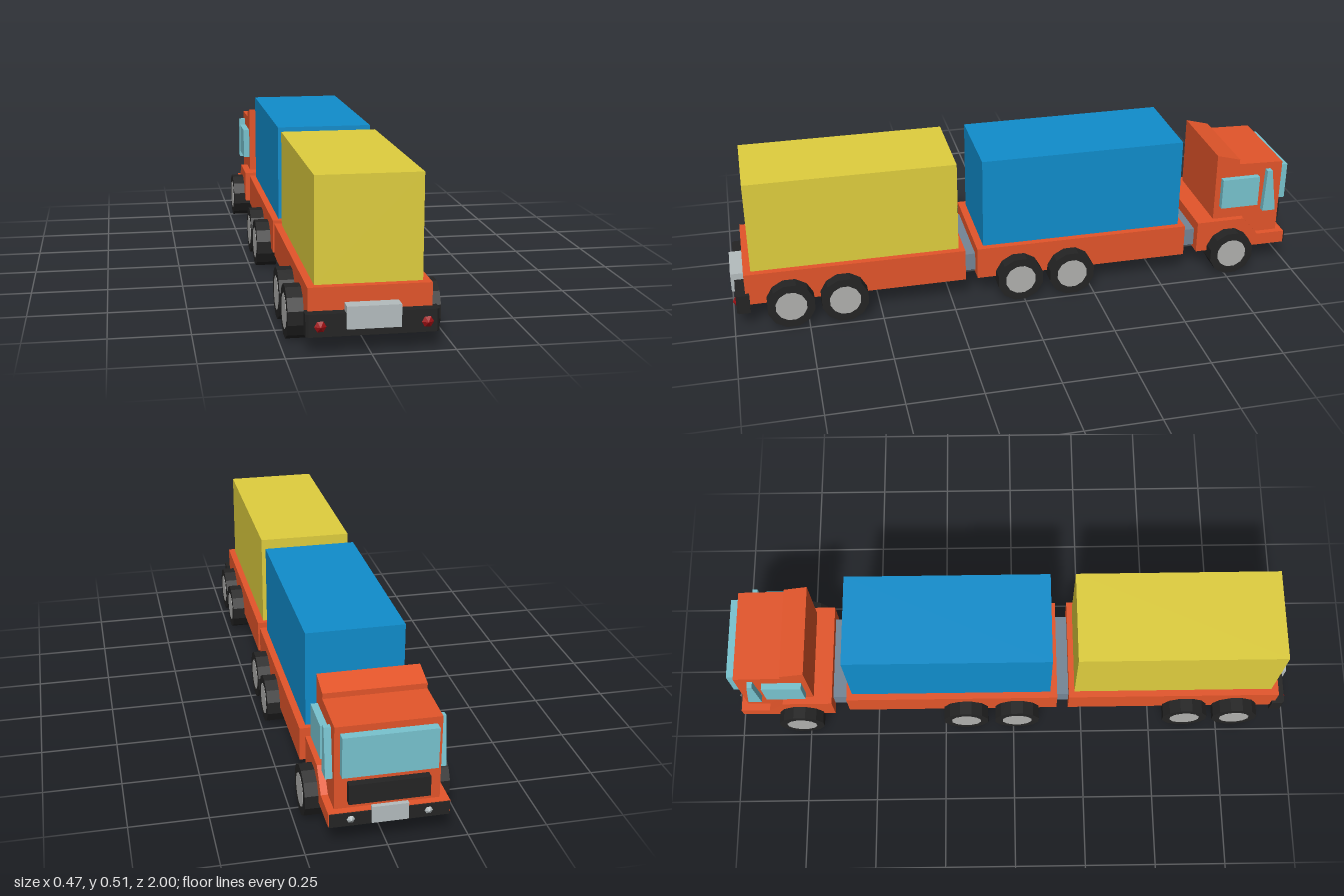
import * as THREE from 'three';

const material = (color) => new THREE.MeshStandardMaterial({ color, flatShading: true });

export function createModel() {
  const truck = new THREE.Group();
  truck.name = 'containerTruck';
  const orange = material(0xe3552a), yellow = material(0xdfce3e), blue = material(0x108dcc);
  const glass = material(0x78c3cf), black = material(0x242424), steel = material(0x748596);
  const silver = material(0xb4bcbe), red = material(0xa01014), hubGrey = material(0xb0b0ae);

  const add = (name, geometry, mat, parent = truck) => {
    const mesh = new THREE.Mesh(geometry, mat);
    mesh.name = name;
    parent.add(mesh);
    return mesh;
  };
  // Box given by its limits on each axis
  const box = (name, [x0, x1], [y0, y1], [z0, z1], mat) =>
    add(name, new THREE.BoxGeometry(x1 - x0, y1 - y0, z1 - z0)
      .translate((x0 + x1) / 2, (y0 + y1) / 2, (z0 + z1) / 2), mat);
  // Side profile of (z, y) points extruded across x
  const profile = (name, points, [x0, x1], mat) => {
    const shape = new THREE.Shape(points.map(([z, y]) => new THREE.Vector2(z, y)));
    const geometry = new THREE.ExtrudeGeometry(shape, { depth: x1 - x0, bevelEnabled: false });
    return add(name, geometry.rotateY(-Math.PI / 2).translate(x1, 0, 0), mat);
  };
  // Six-sided lamp, domed to a low point, facing along z
  const lamp = (name, x, y, z, radius, dir, mat) =>
    add(name, new THREE.ConeGeometry(radius, 0.014, 6).rotateX(dir * Math.PI / 2)
      .rotateZ(Math.PI / 6).translate(x, y, z + dir * 0.007), mat);

  // Load beds with their containers
  const beds = [
    { name: 'rear', bed: [0.2, 0.955], load: [0.22, 0.93], mat: yellow },
    { name: 'middle', bed: [-0.6, 0.158], load: [-0.58, 0.133], mat: blue },
  ];
  for (const { name, bed, load, mat } of beds) {
    box(name + 'Bed', [-0.18, 0.187], [0.08, 0.194], bed, orange);
    box(name + 'Container', [-0.157, 0.164], [0.192, 0.516], load, mat);
  }

  // Couplings between the sections
  box('rearCoupling', [-0.155, 0.146], [0.092, 0.156], [0.14, 0.22], steel);
  box('cabCoupling', [-0.155, 0.146], [0.092, 0.156], [-0.67, -0.58], steel);

  // Cab base with sloping wheel guards
  profile('cabBase', [
    [-0.652, 0.08], [-0.652, 0.195], [-0.827, 0.195], [-0.885, 0.125], [-0.988, 0.125], [-0.988, 0.08],
  ], [-0.192, 0.179], orange);

  // Cab body with raised rear roof
  profile('cabBody', [
    [-0.717, 0.12], [-0.717, 0.446], [-0.802, 0.423], [-0.802, 0.405], [-0.965, 0.4], [-0.965, 0.12],
  ], [-0.166, 0.157], orange);

  // Windows
  box('windscreen', [-0.15, 0.14], [0.245, 0.378], [-0.994, -0.955], glass);
  for (const [side, span] of [['right', [-0.189, -0.155]], ['left', [0.145, 0.179]]]) {
    profile(side + 'DoorWindow', [[-0.737, 0.245], [-0.737, 0.357], [-0.875, 0.357], [-0.875, 0.245]], span, glass);
    profile(side + 'QuarterWindow', [[-0.897, 0.218], [-0.903, 0.377], [-0.921, 0.377], [-0.945, 0.218]], span, glass);
  }

  // Cab grille, bumper strip, plate and headlights
  box('grille', [-0.13, 0.118], [0.15, 0.216], [-0.99, -0.955], black);
  box('cabBumperStrip', [-0.19, 0.177], [0.08, 0.123], [-0.993, -0.98], black);
  box('cabPlate', [-0.062, 0.05], [0.085, 0.14], [-1, -0.985], silver);
  for (const x of [-0.125, 0.112]) lamp('headlight', x, 0.102, -0.988, 0.02, -1, silver);

  // Rear bumper with chamfered corners, drawn from above
  const bumperPlan = new THREE.Shape([
    [-0.19, -0.942], [-0.19, -0.98], [-0.182, -0.988], [0.194, -0.988], [0.202, -0.98], [0.202, -0.942],
  ].map(([x, z]) => new THREE.Vector2(x, z)));
  add('rearBumper', new THREE.ExtrudeGeometry(bumperPlan, { depth: 0.068, bevelEnabled: false })
    .rotateX(-Math.PI / 2).translate(0, 0.056, 0), black);
  box('rearPlate', [-0.073, 0.087], [0.079, 0.147], [0.948, 1], silver);
  for (const x of [-0.148, 0.166]) lamp('tailLight', x, 0.087, 0.985, 0.023, 1, red);

  // Wheels: twelve-sided tyres with a pale hub on the outer face
  const wheel = (name, outer, side, z) => {
    const group = new THREE.Group();
    group.name = name;
    const part = (partName, radius, width, offset, mat) =>
      add(partName, new THREE.CylinderGeometry(radius, radius, width, 12)
        .rotateZ(Math.PI / 2).rotateX(Math.PI / 12).translate(side * offset, 0, 0), mat, group);
    part('tyre', 0.082, 0.072, -0.036, black);
    part('hub', 0.054, 0.02, -0.009, hubGrey);
    group.position.set(outer, 0.0805, z);
    truck.add(group);
  };
  for (const z of [0.807, 0.625, 0.013, -0.172]) {
    wheel('leftWheel', 0.231, 1, z);
    wheel('rightWheel', -0.228, -1, z);
  }
  wheel('leftCabWheel', 0.221, 1, -0.772);
  wheel('rightCabWheel', -0.235, -1, -0.772);

  return truck;
}
